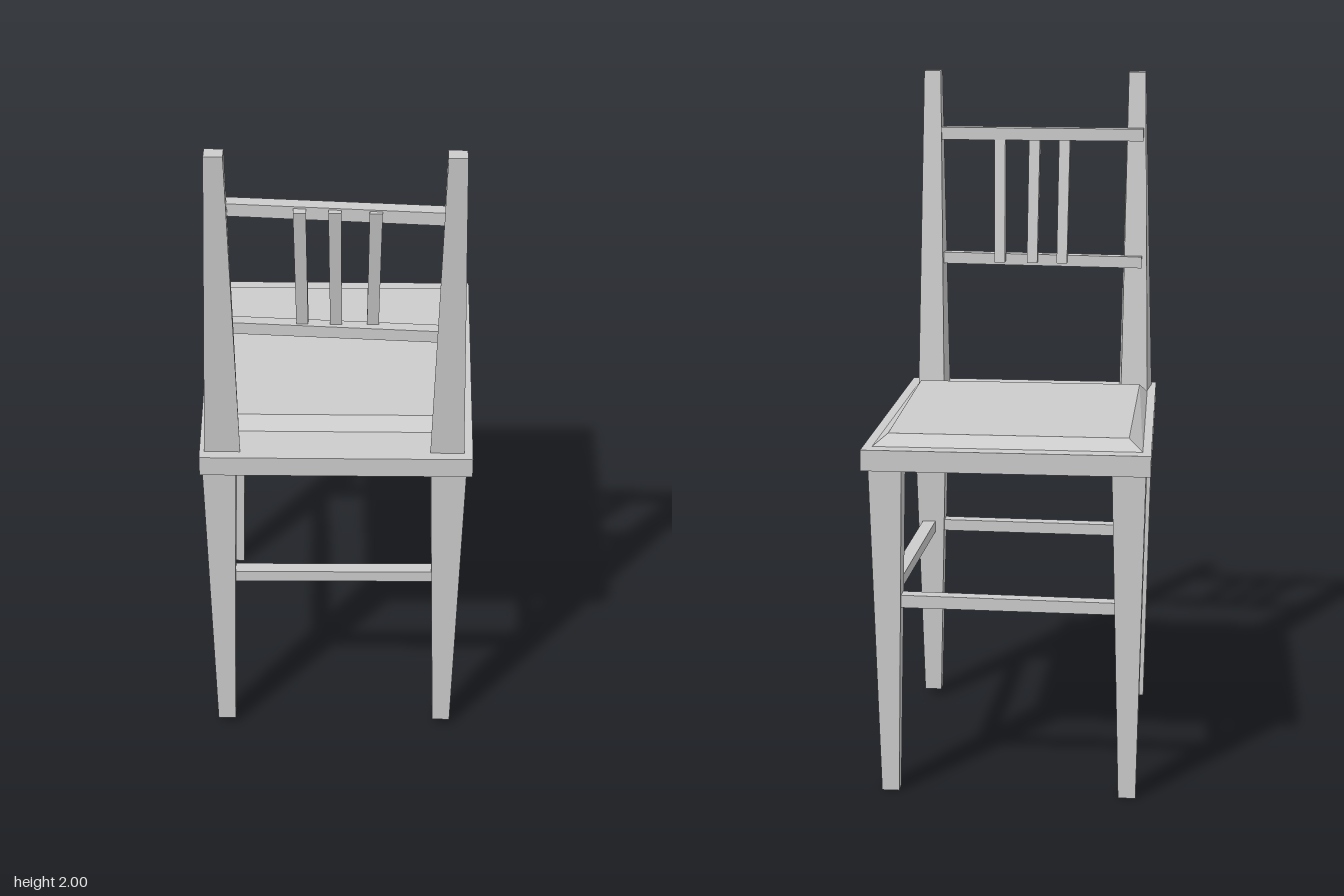
import * as THREE from 'three';

const material = new THREE.MeshStandardMaterial({ color: 0xcccccc, flatShading: true });

// A unit box whose eight corners are placed by a rule on (u, v, w), each 0 or 1.
function warpedBox(name, rule) {
  const geometry = new THREE.BoxGeometry(1, 1, 1);
  const p = geometry.attributes.position;
  for (let i = 0; i < p.count; i++) {
    p.setXYZ(i, ...rule(p.getX(i) + 0.5, p.getY(i) + 0.5, p.getZ(i) + 0.5));
  }
  geometry.computeVertexNormals();
  const mesh = new THREE.Mesh(geometry, material);
  mesh.name = name;
  return mesh;
}

const mix = THREE.MathUtils.lerp;

// Upright tapered part; each end is [x0, x1, z0, z1, flare], flare widening the +z edge.
function upright(name, y0, bottom, y1, top) {
  return warpedBox(name, (u, v, w) => {
    const [x0, x1, z0, z1, flare = 0] = v ? top : bottom;
    return [mix(x0, x1, u) + (u ? 1 : -1) * flare * w, v ? y1 : y0, mix(z0, z1, w)];
  });
}

// Bar along x; each end is [x, y0, y1, z0, z1].
function crossRail(name, a, b) {
  return warpedBox(name, (u, v, w) => {
    const [x, y0, y1, z0, z1] = u ? b : a;
    return [x, mix(y0, y1, v), mix(z0, z1, w)];
  });
}

// Bar along z; each end is [z, x0, x1, y0, y1].
function sideRail(name, a, b) {
  return warpedBox(name, (u, v, w) => {
    const [z, x0, x1, y0, y1] = w ? b : a;
    return [mix(x0, x1, u), mix(y0, y1, v), z];
  });
}

export function createModel() {
  const chair = new THREE.Group();
  chair.name = 'chair';

  // Seat board and bevelled pad, both narrowing towards the backrest
  chair.add(
    upright('seatBoard', 0.97, [-0.405, 0.405, -0.5, 0.463, -0.02], 1.03, [-0.405, 0.405, -0.5, 0.463, -0.02]),
    upright('seatPad', 1.03, [-0.38, 0.378, -0.455, 0.33, -0.018], 1.06, [-0.34, 0.338, -0.415, 0.288])
  );

  // Four tapered legs
  chair.add(
    upright('leftBackrestLeg', 0.02, [0.293, 0.345, 0.37, 0.41], 0.975, [0.268, 0.37, 0.347, 0.43]),
    upright('rightBackrestLeg', 0.02, [-0.36, -0.308, 0.37, 0.41], 0.975, [-0.38, -0.285, 0.347, 0.43]),
    upright('leftOpenLeg', 0, [0.315, 0.365, -0.443, -0.4], 0.975, [0.295, 0.39, -0.463, -0.378]),
    upright('rightOpenLeg', 0, [-0.37, -0.32, -0.443, -0.4], 0.975, [-0.39, -0.295, -0.463, -0.378])
  );

  // Stretchers between the legs
  chair.add(
    crossRail('backrestStretcher', [-0.32, 0.55, 0.585, 0.37, 0.41], [0.31, 0.555, 0.59, 0.37, 0.41]),
    crossRail('openStretcher', [-0.33, 0.55, 0.585, -0.44, -0.4], [0.33, 0.555, 0.592, -0.44, -0.4])
  );
  for (const [name, s] of [['left', 1], ['right', -1]]) {
    const [a, b] = s > 0 ? [[0.335, 0.375], [0.305, 0.345]] : [[-0.37, -0.33], [-0.355, -0.315]];
    chair.add(sideRail(name + 'Stretcher', [-0.41, ...a, 0.55, 0.583], [0.38, ...b, 0.553, 0.588]));
  }

  // Backrest posts, raked and tapered
  chair.add(
    upright('leftPost', 1.02, [0.273, 0.353, 0.34, 0.432, 0.008], 2, [0.29, 0.341, 0.455, 0.5]),
    upright('rightPost', 1.02, [-0.362, -0.28, 0.34, 0.432, 0.01], 2, [-0.341, -0.29, 0.455, 0.5])
  );

  // Backrest rails, set slightly askew
  chair.add(
    crossRail('upperRail', [-0.338, 1.795, 1.832, 0.402, 0.44], [0.315, 1.79, 1.828, 0.442, 0.482]),
    crossRail('lowerRail', [-0.338, 1.408, 1.443, 0.37, 0.405], [0.315, 1.408, 1.443, 0.415, 0.45])
  );

  // Three raked slats
  for (const [bottom, top] of [[-0.092, -0.095], [0, -0.002], [0.1, 0.106]]) {
    chair.add(upright('slat', 1.42, [bottom - 0.016, bottom + 0.016, 0.37, 0.41], 1.825,
      [top - 0.017, top + 0.017, 0.437, 0.48]));
  }

  return chair;
}
